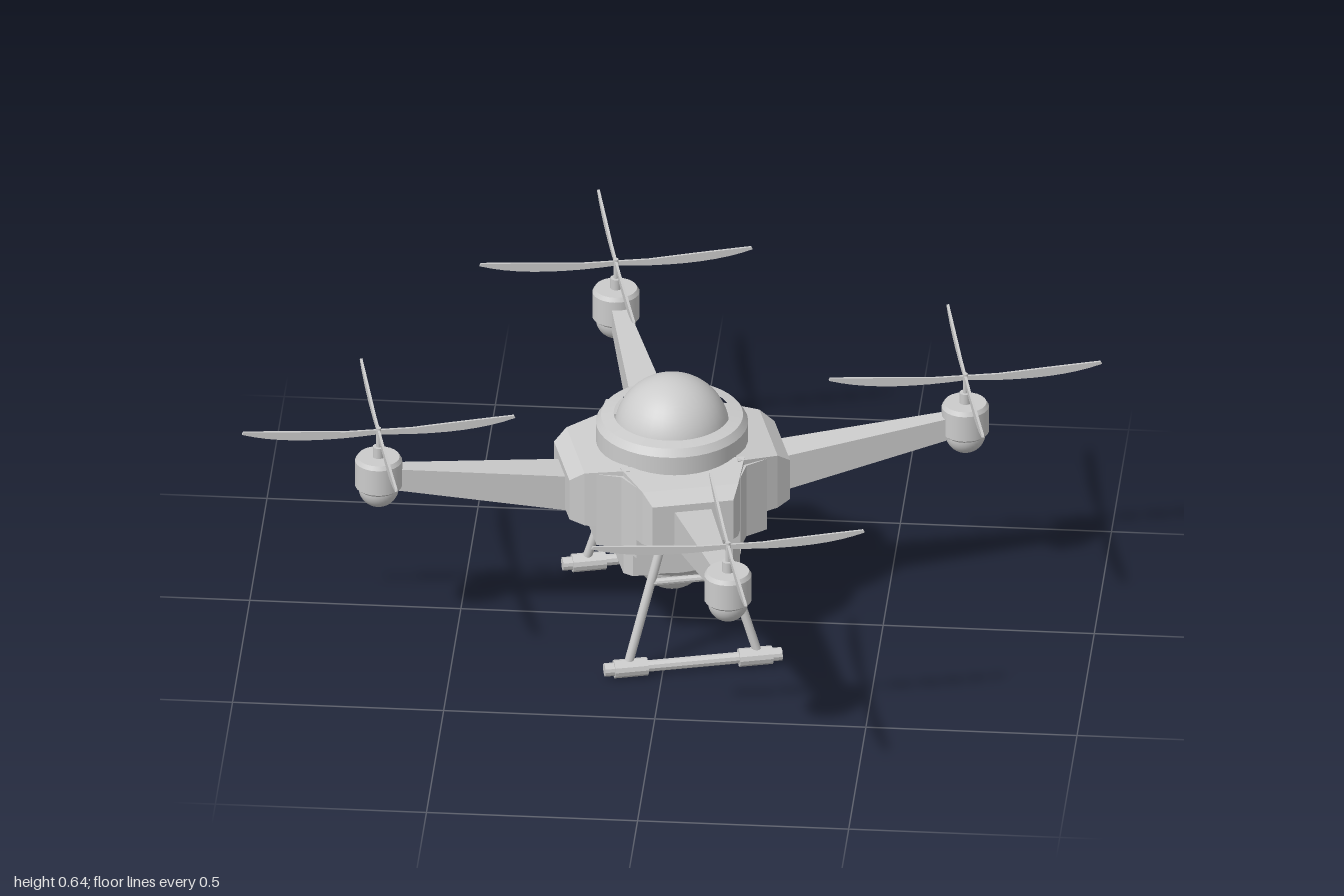
import * as THREE from 'three';

const flat = new THREE.MeshStandardMaterial({ color: 0xcccccc, flatShading: true });
const smooth = new THREE.MeshStandardMaterial({ color: 0xcccccc });

function add(parent, name, geometry, material = flat) {
  const mesh = new THREE.Mesh(geometry, material);
  mesh.name = name;
  parent.add(mesh);
  return mesh;
}

// Box running along +x whose two ends differ: [x, bottom, top, halfWidth]
function taperedBox(a, b) {
  const g = new THREE.BoxGeometry(1, 1, 1);
  const p = g.attributes.position;
  for (let i = 0; i < p.count; i++) {
    const e = p.getX(i) < 0 ? a : b;
    p.setXYZ(i, e[0], p.getY(i) < 0 ? e[1] : e[2], Math.sign(p.getZ(i)) * e[3]);
  }
  g.computeVertexNormals();
  return g;
}

// Upright prism with four-fold symmetry, from the plan corners of one quarter
function quadPrism(corners, y0, y1) {
  const pts = [];
  for (let k = 0; k < 4; k++) {
    const c = new THREE.Vector2();
    for (const [x, y] of corners) pts.push(new THREE.Vector2(x, y).rotateAround(c, k * Math.PI / 2));
  }
  const g = new THREE.ExtrudeGeometry(new THREE.Shape(pts), { depth: y1 - y0, bevelEnabled: false });
  return g.rotateX(-Math.PI / 2).translate(0, y0, 0);
}

// Round bar between two points
function rod(a, b, r, sides = 10) {
  const d = new THREE.Vector3().subVectors(b, a);
  const g = new THREE.CylinderGeometry(r, r, d.length(), sides);
  g.applyQuaternion(new THREE.Quaternion().setFromUnitVectors(new THREE.Vector3(0, 1, 0), d.clone().normalize()));
  return g.translate((a.x + b.x) / 2, (a.y + b.y) / 2, (a.z + b.z) / 2);
}

// Lathe with hard edges: each segment becomes its own smooth band
function bands(parent, name, profile, sides = 32) {
  const group = new THREE.Group();
  group.name = name;
  for (let i = 0; i < profile.length - 1; i++) {
    const seg = [profile[i], profile[i + 1]].map(([r, y]) => new THREE.Vector2(r, y));
    add(group, name + 'Band', new THREE.LatheGeometry(seg, sides), smooth);
  }
  parent.add(group);
  return group;
}

function dome(r, top) {
  return new THREE.SphereGeometry(r, 32, 14, 0, Math.PI * 2, top ? 0 : Math.PI / 2, Math.PI / 2);
}

// Thin upright leaf blade, sweeping up towards its tip
function bladeGeometry() {
  const s = new THREE.Shape();
  s.moveTo(0, -0.008);
  s.lineTo(0.04, -0.011);
  s.quadraticCurveTo(0.22, -0.022, 0.325, 0.013);
  s.lineTo(0.322, 0.019);
  s.quadraticCurveTo(0.2, 0.012, 0.08, 0.003);
  s.lineTo(0, 0.003);
  return new THREE.ExtrudeGeometry(s, { depth: 0.006, bevelEnabled: false, curveSegments: 8 }).translate(0, 0, -0.003);
}

function createArm() {
  const arm = new THREE.Group();
  arm.name = 'arm';
  // stepped shoulder block
  add(arm, 'shoulder', taperedBox([0.13, 0.33, 0.49, 0.15], [0.232, 0.335, 0.475, 0.115]));
  add(arm, 'shoulderCap', taperedBox([0.232, 0.335, 0.475, 0.115], [0.265, 0.345, 0.45, 0.097]));
  add(arm, 'boom', taperedBox([0.25, 0.338, 0.43, 0.045], [0.68, 0.425, 0.48, 0.018]));

  // motor pod with rounded underside
  const motor = new THREE.Group();
  motor.name = 'motor';
  motor.position.x = 0.705;
  bands(motor, 'motorPod', [[0.048, 0.425], [0.056, 0.432], [0.056, 0.498], [0.05, 0.508], [0, 0.508]], 24);
  const under = add(motor, 'motorUnderside', dome(0.048, false), smooth);
  under.position.y = 0.426;
  bands(motor, 'shaft', [[0.014, 0.505], [0.014, 0.535], [0.006, 0.535], [0.006, 0.585], [0, 0.585]], 12);

  // four crossed blades
  const rotor = new THREE.Group();
  rotor.name = 'rotor';
  rotor.position.y = 0.577;
  rotor.rotation.y = -0.06;
  const blade = bladeGeometry();
  for (let k = 0; k < 4; k++) add(rotor, 'blade', blade).rotation.y = k * Math.PI / 2;
  motor.add(rotor);
  arm.add(motor);
  return arm;
}

function createLandingGear() {
  const gear = new THREE.Group();
  gear.name = 'landingGear';
  const v = (x, y, z) => new THREE.Vector3(x, y, z);
  for (const s of [-1, 1]) {
    add(gear, 'leg', rod(v(s * 0.06, 0.36, 0.225), v(s * 0.158, 0.025, 0.264), 0.011), smooth);
    add(gear, 'footSleeve', rod(v(s * 0.11, 0.024, 0.264), v(s * 0.19, 0.024, 0.264), 0.022, 12));
    add(gear, 'footTip', rod(v(s * 0.19, 0.024, 0.264), v(s * 0.213, 0.024, 0.264), 0.016, 12));
  }
  add(gear, 'footBar', rod(v(-0.12, 0.024, 0.264), v(0.12, 0.024, 0.264), 0.014));
  add(gear, 'crossBar', rod(v(-0.097, 0.235, 0.24), v(0.097, 0.235, 0.24), 0.009));
  return gear;
}

export function createModel() {
  const model = new THREE.Group();
  model.name = 'quadcopter';
  const craft = new THREE.Group();
  craft.name = 'craft';
  craft.rotation.y = 0.27;
  model.add(craft);

  // hull
  add(craft, 'hull', quadPrism([[0.205, -0.125], [0.205, 0.125], [0.15, 0.15]], 0.285, 0.475));
  add(craft, 'lowerHull', quadPrism([[0.14, -0.12], [0.14, 0.12]], 0.2, 0.285));

  // top collar and dome
  bands(craft, 'collar', [[0.18, 0.46], [0.18, 0.53], [0.168, 0.548], [0.138, 0.553]], 40);
  add(craft, 'topDome', dome(0.137, true), smooth).position.y = 0.508;

  // camera ball below
  bands(craft, 'cameraCollar', [[0.08, 0.165], [0.1, 0.168], [0.112, 0.182], [0.112, 0.205]], 32);
  add(craft, 'cameraBall', dome(0.086, false), smooth).position.y = 0.176;

  for (let k = 0; k < 4; k++) {
    const arm = createArm();
    arm.rotation.y = k * Math.PI / 2;
    craft.add(arm);
  }
  for (let k = 0; k < 2; k++) {
    const gear = createLandingGear();
    gear.rotation.y = k * Math.PI;
    craft.add(gear);
  }
  return model;
}
